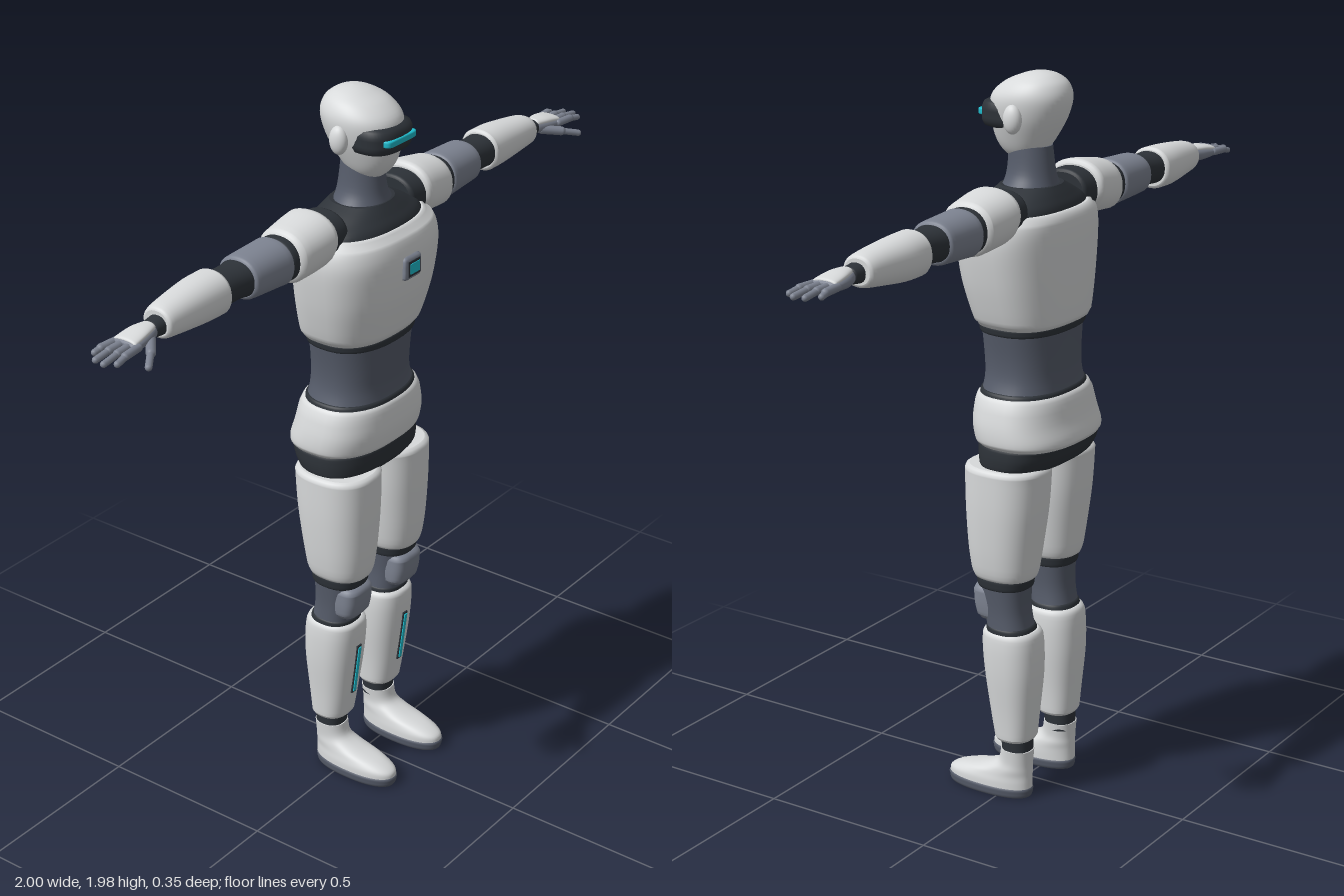
import * as THREE from 'three';

const mat = (name, hex) => new THREE.MeshStandardMaterial({ name, color: hex });

// Smooth loft through super-elliptic sections [t, uMin, uMax, vMin, vMax] with softened, capped ends.
// axis y: u = x, v = z; axis x: u = y, v = z.
function loft(sections, { axis = 'y', n = 2.4, bevel = 0.01, seg = 48, steps = 5 } = {}) {
  const spline = (a, b, c, d, t) => 0.5 * (2 * b + (c - a) * t + (2 * a - 5 * b + 4 * c - d) * t * t
    + (3 * b - a - 3 * c + d) * t * t * t);
  const last = sections.length - 1;
  const rings = [];
  for (let i = 0; i < last; i++) {
    for (let k = 0; k < steps; k++) {
      rings.push(sections[i].map((b, c) => spline(sections[Math.max(i - 1, 0)][c], b,
        sections[i + 1][c], sections[Math.min(i + 2, last)][c], k / steps)));
    }
  }
  rings.push(sections[last].slice());
  if (bevel > 0) {
    const inset = (r, d, t) => [t, r[1] + d, r[2] - d, r[3] + d, r[4] - d];
    const a = rings[0], z = rings[rings.length - 1];
    const lo = a[0], hi = z[0], B = bevel;
    const inner = rings.filter(r => r[0] > lo + B && r[0] < hi - B);
    rings.length = 0;
    rings.push(inset(a, B, lo), inset(a, B * 0.3, lo + B * 0.3), inset(a, 0, lo + B), ...inner,
      inset(z, 0, hi - B), inset(z, B * 0.3, hi - B * 0.3), inset(z, B, hi));
  }
  const pos = [], idx = [];
  const put = (t, u, v) => (axis === 'y' ? pos.push(u, t, v) : pos.push(t, u, v));
  const tri = (a, b, c) => (axis === 'y' ? idx.push(a, c, b) : idx.push(a, b, c));
  const pw = x => Math.sign(x) * Math.abs(x) ** (2 / n);
  const addRing = ([t, u0, u1, v0, v1]) => {
    for (let j = 0; j < seg; j++) {
      const w = j / seg * Math.PI * 2;
      put(t, (u0 + u1) / 2 + (u1 - u0) / 2 * pw(Math.cos(w)), (v0 + v1) / 2 + (v1 - v0) / 2 * pw(Math.sin(w)));
    }
  };
  rings.forEach(addRing);
  for (let i = 0; i < rings.length - 1; i++) {
    for (let j = 0; j < seg; j++) {
      const a = i * seg + j, b = i * seg + (j + 1) % seg;
      tri(a, b, b + seg);
      tri(a, b + seg, a + seg);
    }
  }
  for (const end of [0, 1]) {
    const r = rings[end ? rings.length - 1 : 0], base = pos.length / 3;
    addRing(r);
    put(r[0], (r[1] + r[2]) / 2, (r[3] + r[4]) / 2);
    for (let j = 0; j < seg; j++) {
      const a = base + j, b = base + (j + 1) % seg;
      end ? tri(a, b, base + seg) : tri(b, a, base + seg);
    }
  }
  const g = new THREE.BufferGeometry();
  g.setAttribute('position', new THREE.Float32BufferAttribute(pos, 3));
  g.setIndex(idx);
  g.computeVertexNormals();
  return g;
}

// Section symmetric about x = 0
const sym = rows => rows.map(([y, rx, z0, z1]) => [y, -rx, rx, z0, z1]);

// Rounded rod between two points
function rod(a, b, r) {
  const p = new THREE.Vector3(...a), q = new THREE.Vector3(...b), d = q.clone().sub(p);
  const g = new THREE.CapsuleGeometry(r, d.length() - 2 * r, 5, 12);
  g.applyQuaternion(new THREE.Quaternion().setFromUnitVectors(new THREE.Vector3(0, 1, 0), d.normalize()));
  return g.translate(...p.add(q).multiplyScalar(0.5).toArray());
}

function mirrored(g) {
  const m = g.clone().scale(-1, 1, 1), ix = m.index.array;
  for (let i = 0; i < ix.length; i += 3) [ix[i + 1], ix[i + 2]] = [ix[i + 2], ix[i + 1]];
  return m;
}

export function createModel() {
  const shell = mat('white shell', 0xd8dadb);
  const slate = mat('slate', 0x565c6a);
  const pale = mat('pale slate', 0x7d8391);
  const dark = mat('dark joint', 0x2d3238);
  const glow = mat('cyan light', 0x1fbccd);

  const model = new THREE.Group();
  model.name = 'robot';
  const add = (name, g, m) => {
    const mesh = new THREE.Mesh(g, m);
    mesh.name = name;
    model.add(mesh);
  };
  const pair = (name, g, m) => {
    add(name + 'Left', g, m);
    add(name + 'Right', mirrored(g), m);
  };

  // Head, visor and ears
  add('head', loft(sym([[1.755, 0.03, -0.03, 0.04], [1.775, 0.05, -0.055, 0.065], [1.81, 0.068, -0.082, 0.085],
    [1.865, 0.088, -0.112, 0.094], [1.915, 0.094, -0.125, 0.09], [1.95, 0.079, -0.115, 0.055],
    [1.97, 0.053, -0.092, 0.012], [1.979, 0.026, -0.068, -0.018], [1.982, 0.002, -0.045, -0.041]]),
  { n: 2.1, bevel: 0 }), shell);
  add('visor', loft(sym([[1.835, 0.085, -0.03, 0.11], [1.905, 0.085, -0.03, 0.11]]), { n: 2.6, bevel: 0.018 }), dark);
  add('visorLight', loft(sym([[1.863, 0.062, 0, 0.115], [1.88, 0.062, 0, 0.115]]), { n: 8, bevel: 0.003 }), glow);
  const ear = new THREE.SphereGeometry(1, 24, 16).scale(0.02, 0.038, 0.026).translate(0.094, 1.868, -0.018);
  pair('ear', ear, shell);

  // Neck and collar
  add('neck', loft(sym([[1.64, 0.13, -0.1, 0.075], [1.68, 0.088, -0.088, 0.06], [1.72, 0.062, -0.08, 0.05],
    [1.79, 0.052, -0.072, 0.045]]), { n: 2, bevel: 0 }), slate);
  add('collar', loft(sym([[1.58, 0.19, -0.13, 0.11], [1.635, 0.18, -0.125, 0.1], [1.665, 0.135, -0.11, 0.08],
    [1.69, 0.085, -0.092, 0.06]]), { bevel: 0 }), dark);

  // Torso
  add('chest', loft(sym([[1.33, 0.17, -0.145, 0.1], [1.38, 0.186, -0.148, 0.115], [1.46, 0.205, -0.15, 0.133],
    [1.55, 0.218, -0.15, 0.14], [1.6, 0.213, -0.148, 0.132], [1.633, 0.193, -0.142, 0.115]]),
  { n: 2.6, bevel: 0.012 }), shell);
  add('chestBadge', loft([[0.12, -0.036, 0.036, 1.503, 1.567], [0.149, -0.036, 0.036, 1.503, 1.567]]
    .map(([z, a, b, c, d]) => [c, a, b, z, 0.149]).map((s, i) => [i ? 1.567 : 1.503, s[1], s[2], 0.1, 0.149]),
  { n: 8, bevel: 0.01 }), pale);
  add('badgeRim', new THREE.BoxGeometry(0.05, 0.042, 0.006).translate(0, 1.535, 0.148), dark);
  add('badgeLight', new THREE.BoxGeometry(0.038, 0.028, 0.006).translate(0, 1.535, 0.15), glow);
  add('waist', loft(sym([[1.14, 0.165, -0.135, 0.09], [1.19, 0.147, -0.13, 0.085], [1.25, 0.145, -0.13, 0.088],
    [1.34, 0.157, -0.132, 0.093]]), { bevel: 0 }), slate);
  add('waistRingUpper', loft(sym([[1.312, 0.161, -0.137, 0.097], [1.335, 0.163, -0.138, 0.098]]), { bevel: 0.005 }), dark);
  add('waistRingLower', loft(sym([[1.14, 0.168, -0.139, 0.094], [1.158, 0.165, -0.137, 0.092]]), { bevel: 0.005 }), dark);
  add('pelvis', loft(sym([[1.01, 0.192, -0.174, 0.09], [1.035, 0.198, -0.174, 0.099], [1.08, 0.194, -0.16, 0.105],
    [1.148, 0.176, -0.147, 0.1]]), { n: 2.5, bevel: 0.012 }), shell);
  add('hips', loft(sym([[0.95, 0.188, -0.135, 0.08], [0.985, 0.192, -0.158, 0.086], [1.02, 0.19, -0.17, 0.088]]),
    { n: 2.5, bevel: 0.008 }), dark);

  // Arms
  const arm = (name, rows, m, o = {}) => pair(name, loft(rows, { axis: 'x', n: 2.2, seg: 36, bevel: 0.008, ...o }), m);
  arm('shoulderJoint', [[0.135, 1.585, 1.7, -0.095, 0.045], [0.21, 1.58, 1.7, -0.1, 0.05]], dark);
  arm('shoulderCap', [[0.19, 1.585, 1.716, -0.112, 0.058], [0.23, 1.568, 1.714, -0.112, 0.058],
    [0.322, 1.56, 1.698, -0.103, 0.048]], shell, { bevel: 0.012 });
  arm('shoulderRing', [[0.315, 1.57, 1.688, -0.094, 0.036], [0.348, 1.57, 1.686, -0.094, 0.034]], dark);
  arm('upperArm', [[0.342, 1.566, 1.69, -0.1, 0.037], [0.48, 1.573, 1.684, -0.097, 0.028]], pale);
  arm('elbow', [[0.47, 1.582, 1.676, -0.09, 0.02], [0.52, 1.586, 1.672, -0.086, 0.014],
    [0.58, 1.582, 1.674, -0.09, 0.014]], dark);
  arm('forearm', [[0.562, 1.568, 1.684, -0.1, 0.02], [0.63, 1.568, 1.682, -0.1, 0.018],
    [0.72, 1.577, 1.673, -0.088, 0.014], [0.78, 1.584, 1.664, -0.078, 0.01]], shell);
  arm('wrist', [[0.77, 1.595, 1.648, -0.06, -0.002], [0.812, 1.6, 1.642, -0.055, -0.005]], dark, { bevel: 0.004 });

  // Hands
  arm('palm', [[0.8, 1.604, 1.638, -0.048, -0.008], [0.84, 1.597, 1.637, -0.062, 0.004],
    [0.905, 1.601, 1.629, -0.068, 0.012]], pale, { bevel: 0.006 });
  arm('handBack', [[0.81, 1.622, 1.644, -0.046, -0.008], [0.85, 1.62, 1.643, -0.058, 0.002],
    [0.9, 1.614, 1.634, -0.062, 0.006]], shell, { bevel: 0.004 });
  [[0.005, 0.982, 0.016], [-0.016, 1, -0.01], [-0.038, 0.995, -0.04], [-0.059, 0.968, -0.068]].forEach(
    ([z0, tip, z1], i) => {
      pair('fingerBase' + (i + 1), rod([0.88, 1.616, z0], [0.952, 1.615, (z0 + 2 * z1) / 3], 0.0105), pale);
      pair('fingerTip' + (i + 1), rod([0.93, 1.616, (z0 + z1) / 2], [tip, 1.608, z1], 0.0085), pale);
    });
  pair('thumbBase', rod([0.82, 1.613, -0.018], [0.882, 1.6, 0.036], 0.0125), pale);
  pair('thumbTip', rod([0.865, 1.604, 0.022], [0.922, 1.588, 0.062], 0.009), pale);

  // Legs
  const leg = (name, rows, m, o) => pair(name, loft(rows, o), m);
  leg('thigh', [[0.638, 0.035, 0.186, -0.092, 0.08], [0.72, 0.023, 0.198, -0.104, 0.091],
    [0.84, 0.011, 0.207, -0.12, 0.098], [0.957, 0.008, 0.209, -0.128, 0.1]], shell, { bevel: 0.012 });
  leg('knee', [[0.48, 0.045, 0.172, -0.085, 0.035], [0.55, 0.052, 0.17, -0.074, 0.048],
    [0.645, 0.045, 0.178, -0.075, 0.062]], slate, { bevel: 0 });
  leg('kneeRingUpper', [[0.612, 0.043, 0.18, -0.08, 0.066], [0.645, 0.041, 0.182, -0.083, 0.07]], dark, { bevel: 0.006 });
  leg('kneeRingLower', [[0.48, 0.043, 0.174, -0.09, 0.04], [0.503, 0.046, 0.173, -0.086, 0.042]], dark, { bevel: 0.005 });
  leg('kneecap', [[0.515, 0.06, 0.162, -0.02, 0.062], [0.56, 0.057, 0.167, -0.02, 0.073],
    [0.612, 0.058, 0.167, -0.02, 0.076]], pale, { n: 3.2, bevel: 0.014 });
  leg('shin', [[0.17, 0.05, 0.165, -0.09, 0.015], [0.25, 0.044, 0.171, -0.098, 0.029],
    [0.36, 0.033, 0.181, -0.108, 0.045], [0.44, 0.03, 0.183, -0.108, 0.053], [0.49, 0.034, 0.179, -0.102, 0.053]],
  shell, { bevel: 0.01 });
  const strip = (w, h, z) => new THREE.BoxGeometry(w, h, 0.009).rotateX(0.13).translate(0.107, 0.335, z);
  pair('shinLightRim', strip(0.018, 0.162, 0.04), dark);
  pair('shinLight', strip(0.011, 0.15, 0.043), glow);

  // Ankles and feet
  leg('ankle', [[0.12, 0.068, 0.149, -0.083, -0.003], [0.18, 0.068, 0.149, -0.083, 0.003]], dark, { bevel: 0 });
  leg('foot', [[0.028, 0.056, 0.163, -0.084, 0.174], [0.045, 0.057, 0.162, -0.084, 0.168],
    [0.062, 0.06, 0.158, -0.084, 0.13], [0.08, 0.064, 0.154, -0.084, 0.06], [0.102, 0.069, 0.15, -0.084, 0.014],
    [0.14, 0.066, 0.152, -0.086, 0.002]], shell, { bevel: 0, n: 2.3 });
  leg('sole', [[0, 0.056, 0.163, -0.083, 0.173], [0.03, 0.054, 0.165, -0.086, 0.177]], slate, { bevel: 0.007, n: 2.3 });

  return model;
}
